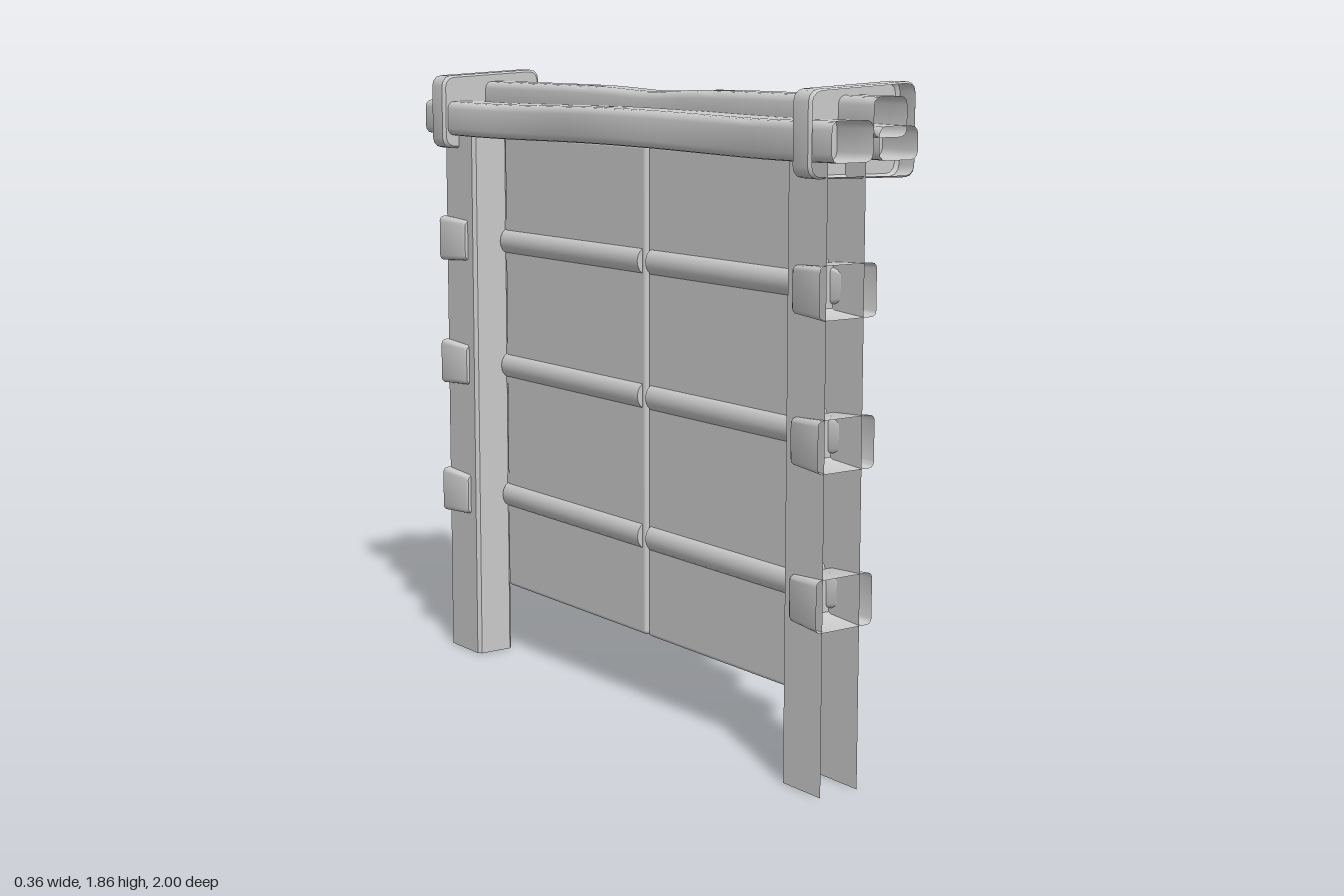
import * as THREE from 'three';
import { toCreasedNormals } from 'three/addons/utils/BufferGeometryUtils.js';
import { RoundedBoxGeometry } from 'three/addons/geometries/RoundedBoxGeometry.js';

const material = new THREE.MeshStandardMaterial({ color: 0xcccccc, side: THREE.DoubleSide });

// Counter-clockwise rounded rectangle in x, y
function roundRect(x0, x1, y0, y1, r, n = 3) {
  const pts = [];
  [[x1, y0, -1], [x1, y1, 0], [x0, y1, 1], [x0, y0, 2]].forEach(([x, y, q]) => {
    const cx = x === x1 ? x - r : x + r, cy = y === y1 ? y - r : y + r;
    for (let i = 0; i <= n; i++) {
      const a = (q + i / n) * Math.PI / 2;
      pts.push([cx + r * Math.cos(a), cy + r * Math.sin(a)]);
    }
  });
  return pts;
}

// Skin through copies of an outline; station = [z, scale, dx, dy], scale 0 closes an end
function loft(outline, stations, { closed = true, crease = 0.6 } = {}) {
  const xs = outline.map(p => p[0]), ys = outline.map(p => p[1]);
  const cx = (Math.min(...xs) + Math.max(...xs)) / 2;
  const cy = (Math.min(...ys) + Math.max(...ys)) / 2;
  const n = outline.length, pos = [], index = [];
  for (const [z, s = 1, dx = 0, dy = 0] of stations)
    for (const [x, y] of outline) pos.push(cx + (x - cx) * s + dx, cy + (y - cy) * s + dy, z);
  for (let k = 0; k < stations.length - 1; k++) {
    for (let i = 0; i < (closed ? n : n - 1); i++) {
      const a = k * n + i, b = k * n + (i + 1) % n;
      if (stations[k][1] !== 0) index.push(a, b, b + n);
      if (stations[k + 1][1] !== 0) index.push(a, b + n, a + n);
    }
  }
  const g = new THREE.BufferGeometry();
  g.setAttribute('position', new THREE.Float32BufferAttribute(pos, 3));
  g.setIndex(index);
  return toCreasedNormals(g, crease);
}

// Mirror stations to the other end, keeping z ascending
const toSide = (stations, s) => {
  const out = stations.map(([z, ...rest]) => [z * s, ...rest]);
  return s < 0 ? out.reverse() : out;
};

export function createModel() {
  const model = new THREE.Group();
  const add = (name, geometry, parent = model) => {
    const mesh = new THREE.Mesh(geometry, material);
    mesh.name = name;
    parent.add(mesh);
    return mesh;
  };
  const rows = [1.33, 0.935, 0.517];

  for (const s of [1, -1]) {
    const side = s > 0 ? 'Front' : 'Back';

    // Post: a channel open on its outer side and underneath
    const channel = [[0, 0.94], [0, 0.785], [-0.01, 0.775], [-0.115, 0.775], [-0.125, 0.785], [-0.125, 0.94]]
      .map(([x, z]) => [x, -z * s]);
    if (s < 0) channel.reverse();
    add('post' + side, loft(channel, [[0, 1], [1.67, 1]], { closed: false }).rotateX(-Math.PI / 2));

    // Door leaf with rounded edges
    const door = add('door' + side, new RoundedBoxGeometry(0.03, 1.445, 0.767, 2, 0.012));
    door.position.set(0, 0.937, s * 0.388);

    // Clamp around the beams, open outwards, slightly skewed
    const clampOutline = roundRect(-0.18, 0.175, 1.615, 1.85, 0.03)
      .map(([x, y]) => [x, y + (y > 1.7 ? 0.05 : -0.02) * x]);
    add('beamClamp' + side, loft(clampOutline, toSide(
      [[0.86, 0], [0.86, 0.95], [0.868, 1], [0.927, 1], [0.935, 0.96]], s)));

    for (const y of rows) {
      const hinge = new THREE.Group();
      hinge.name = 'hinge' + side;
      model.add(hinge);

      // Post bracket, open outwards
      add('bracket', loft(roundRect(-0.15, 0.038, y - 0.07, y + 0.07, 0.015), toSide(
        [[0.815, 0], [0.815, 0.84], [0.825, 0.9], [0.945, 1]], s)), hinge);
      // Tapered tongue over the bracket
      add('tongue', loft(roundRect(-0.01, 0.05, y - 0.05, y + 0.05, 0.012), toSide(
        [[0.79, 0], [0.79, 1], [0.825, 0.95], [0.89, 0.55, 0.012], [0.89, 0, 0.012]], s)), hinge);
      // Knuckle
      const knuckle = add('knuckle', new RoundedBoxGeometry(0.06, 0.14, 0.04, 2, 0.012), hinge);
      knuckle.position.set(0.018, y, s * 0.778);
      // Strap tapering onto the door bar
      add('strap', loft(roundRect(-0.01, 0.045, y - 0.058, y + 0.058, 0.012), toSide(
        [[0.65, 0], [0.65, 0.58], [0.7, 0.85], [0.765, 1], [0.765, 0]], s)), hinge);

      // Round bar through the door, showing on both faces
      const bar = new THREE.CylinderGeometry(0.04, 0.04, 0.75, 16).rotateX(Math.PI / 2).scale(0.85, 1, 1);
      add('doorBar' + side, bar).position.set(0, y - 0.004, s * 0.395);
    }
  }

  // L-shaped hooks
  const hookShape = new THREE.Shape([[0.01, 0], [0.09, 0], [0.09, 0.068], [0.08, 0.068], [0.08, 0.01], [0.01, 0.01]]
    .map(p => new THREE.Vector2(...p)));
  const hookGeometry = new THREE.ExtrudeGeometry(hookShape, { depth: 0.05, bevelEnabled: false });
  for (const y of [0.767, 0.597])
    for (const z of [0.383, 0.12, -0.104, -0.37])
      add('hook', hookGeometry).position.set(0, y, z - 0.025);

  // Three wavy open-ended beams along the top
  const wave = (z, period) => Math.cos(z * Math.PI * 2 / period);
  const beams = [
    ['ridgeBeam', [-0.03, 0.08, 1.72, 1.823], z => [0.004 * wave(z, 0.9), -0.01 * Math.exp(-z * z * 30)]],
    ['backBeam', [-0.155, -0.02, 1.66, 1.765], z => [-0.01 * wave(z, 0.9), 0.004 * wave(z, 1.3)]],
    ['frontBeam', [0, 0.129, 1.662, 1.748], z => [-0.008 * wave(z, 1), 0.004 * wave(z, 0.8) * (1 - z * z)]],
  ];
  for (const [name, rect, offset] of beams) {
    const stations = [];
    for (let i = 0; i <= 32; i++) {
      const z = -1 + i / 16;
      stations.push([z, 1, ...offset(z)]);
    }
    add(name, loft(roundRect(...rect, 0.022), stations));
  }
  return model;
}
